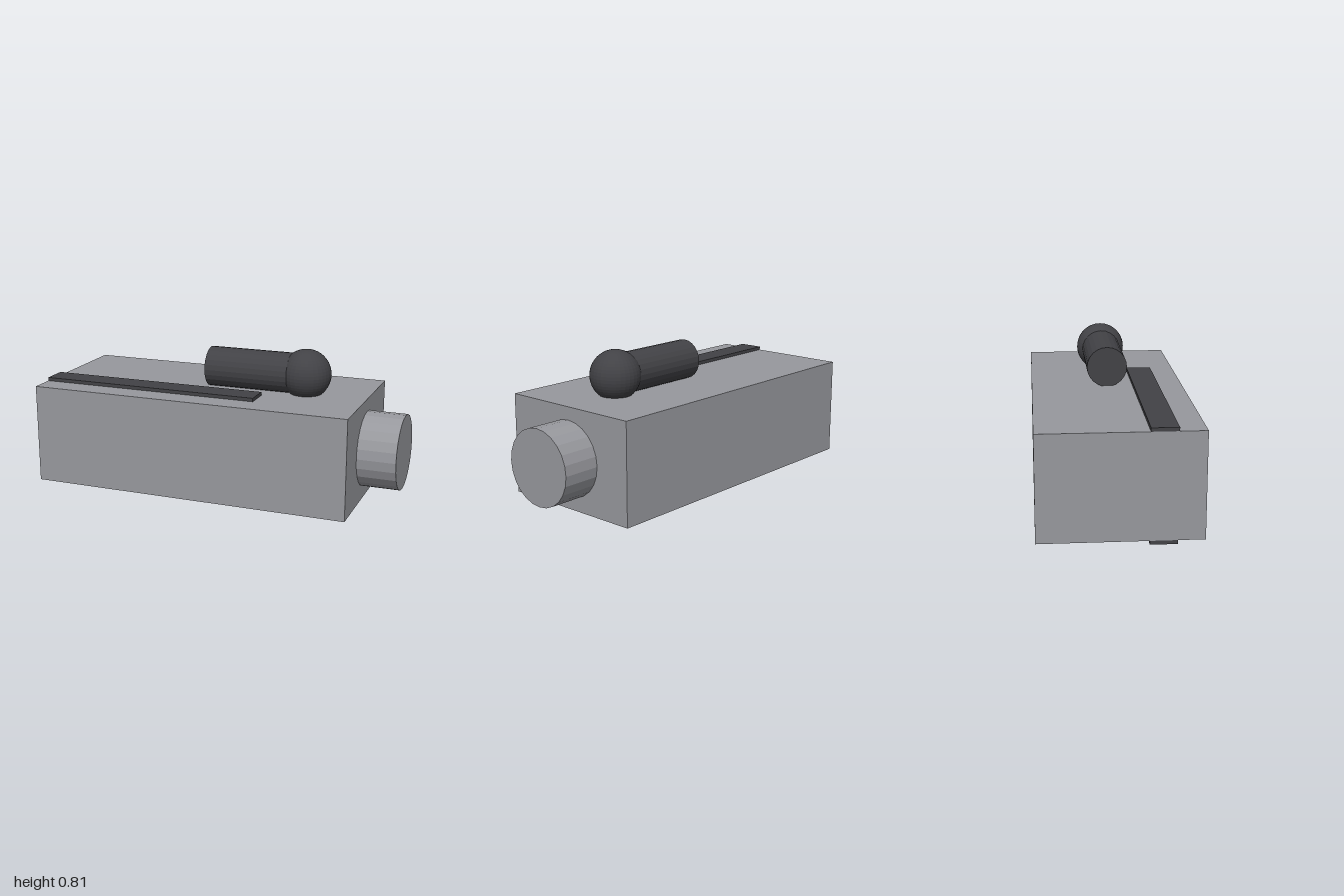
import * as THREE from 'three';

export function createModel() {
  const model = new THREE.Group();
  const grey = new THREE.MeshStandardMaterial({ color: 0x97989d, flatShading: true });
  grey.name = 'light grey';
  const dark = new THREE.MeshStandardMaterial({ color: 0x424246, flatShading: true });
  dark.name = 'charcoal';

  const add = (name, geometry, material, x, y, z) => {
    const mesh = new THREE.Mesh(geometry, material);
    mesh.name = name;
    mesh.position.set(x, y, z);
    model.add(mesh);
  };
  // Cylinder lying along x
  const rod = (radius, x0, x1, sides) =>
    new THREE.CylinderGeometry(radius, radius, x1 - x0, sides).rotateZ(-Math.PI / 2);

  // Main block, standing just above the ground on its lower strip
  add('body', new THREE.BoxGeometry(1.79, 0.55, 0.826), grey, -0.105, 0.295, 0);

  // Round stub on the right-hand end
  add('endStub', rod(0.206, 0.77, 1, 24), grey, 0.885, 0.294, 0);

  // Matching thin strips on the top and bottom
  for (const [name, y] of [['topStrip', 0.579], ['bottomStrip', 0.01]]) {
    add(name, new THREE.BoxGeometry(1.237, 0.02, 0.137), dark, -0.3815, y, 0.208);
  }

  // Bolt handle with a ball on its end
  add('handle', rod(0.11, -0.107, 0.446, 24), dark, 0.1695, 0.675, 0);
  add('handleBall', new THREE.SphereGeometry(0.137, 32, 24), dark, 0.446, 0.675, 0);

  return model;
}
